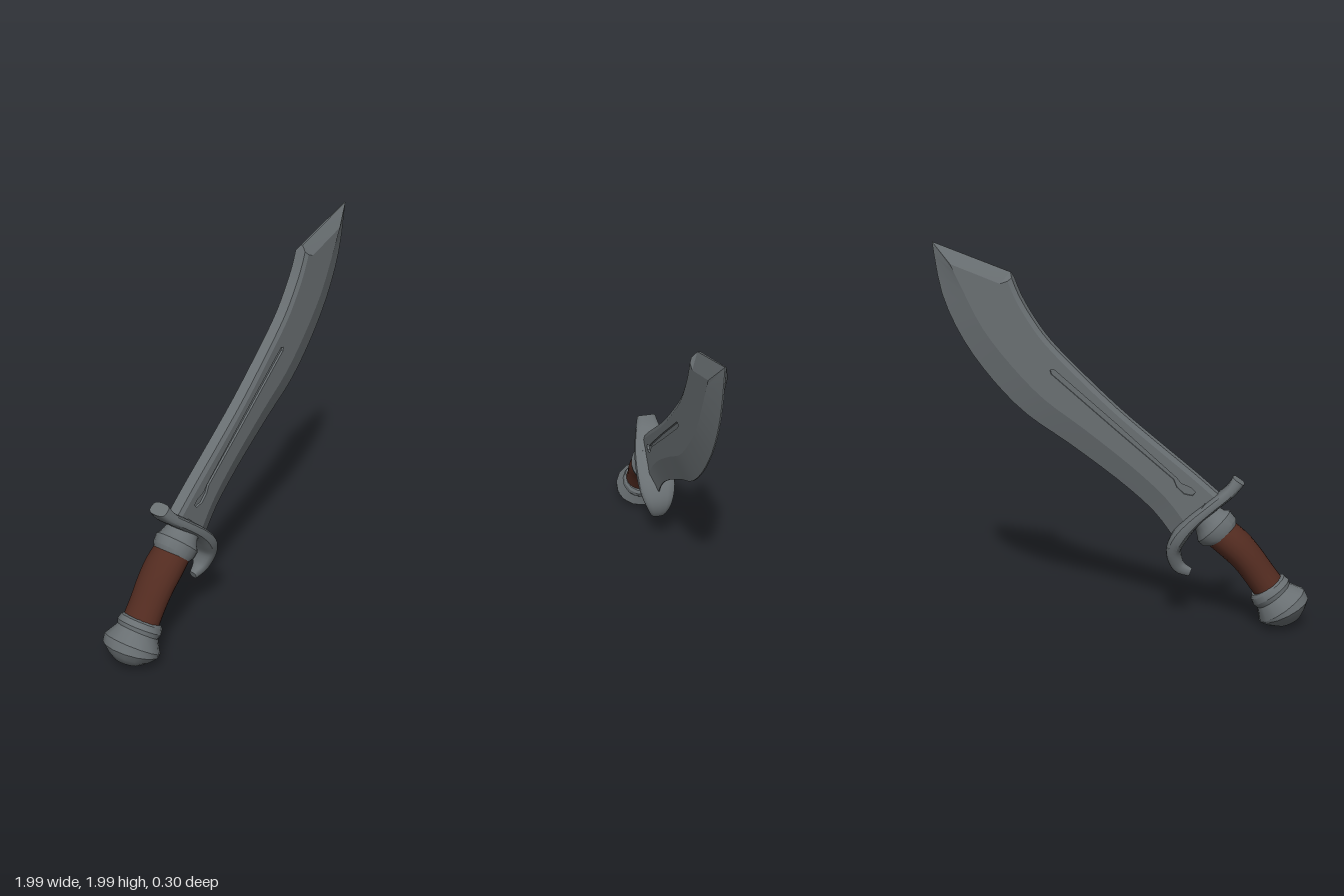
import * as THREE from 'three';
import { toCreasedNormals } from 'three/addons/utils/BufferGeometryUtils.js';

const steel = new THREE.MeshStandardMaterial({ color: 0x696f72 });
steel.name = 'steel';
const leather = new THREE.MeshStandardMaterial({ color: 0x522b20 });
leather.name = 'brown leather';

function makeMesh(name, points, material, crease) {
  const geometry = new THREE.BufferGeometry().setFromPoints(points);
  const mesh = new THREE.Mesh(toCreasedNormals(geometry, crease), material);
  mesh.name = name;
  return mesh;
}

// Sweeps rounded sections [x, y, half width in plane, half depth in z] along a path.
function sweep(name, sections, material, { sides = 16, power = 1, crease = 0.6, steps = 0 } = {}) {
  let list = sections;
  if (steps) {
    const pos = new THREE.SplineCurve(sections.map(s => new THREE.Vector2(s[0], s[1])));
    const size = new THREE.SplineCurve(sections.map(s => new THREE.Vector2(s[2], s[3])));
    list = Array.from({ length: steps + 1 }, (_, i) => {
      const p = pos.getPoint(i / steps), s = size.getPoint(i / steps);
      return [p.x, p.y, s.x, s.y];
    });
  }
  const soft = v => Math.sign(v) * Math.abs(v) ** power;
  const rings = list.map(([x, y, a, b], i) => {
    const p = list[Math.max(i - 1, 0)], q = list[Math.min(i + 1, list.length - 1)];
    const t = new THREE.Vector2(q[0] - p[0], q[1] - p[1]).normalize();
    return Array.from({ length: sides }, (_, k) => {
      const angle = (k / sides) * Math.PI * 2;
      const u = a * soft(Math.cos(angle)), w = b * soft(Math.sin(angle));
      return new THREE.Vector3(x + t.y * u, y - t.x * u, w);
    });
  });
  const out = [];
  const last = rings.length - 1;
  const centre = i => new THREE.Vector3(list[i][0], list[i][1], 0);
  for (let k = 0; k < sides; k++) {
    const n = (k + 1) % sides;
    for (let i = 0; i < last; i++) {
      const [a, b, c, d] = [rings[i][k], rings[i + 1][k], rings[i + 1][n], rings[i][n]];
      out.push(a, b, c, a, c, d);
    }
    out.push(centre(0), rings[0][k], rings[0][n]);
    out.push(centre(last), rings[last][n], rings[last][k]);
  }
  return makeMesh(name, out, material, crease);
}

function smooth(points, count) {
  return new THREE.SplineCurve(points.map(p => new THREE.Vector2(...p))).getPoints(count);
}

function makeBlade() {
  const half = 0.041, floor = 0.029;
  // Cutting edge and the bevel line inside it, from guard to tip
  const edge = smooth([[-0.29, 0.47], [-0.18, 0.61], [0.01, 0.77], [0.27, 0.955], [0.49, 1.1],
    [0.67, 1.275], [0.83, 1.49], [0.94, 1.73], [0.987, 2]], 24);
  const bevel = smooth([[-0.36, 0.55], [-0.25, 0.69], [-0.07, 0.85], [0.18, 1.04], [0.39, 1.19],
    [0.56, 1.36], [0.71, 1.55], [0.81, 1.74], [0.88, 1.885]], 24);
  // Spine, from the clipped corner back to the guard
  const spine = smooth([[0.566, 1.845], [0.52, 1.73], [0.45, 1.61], [0.36, 1.49], [0.2, 1.33],
    [0, 1.145], [-0.2, 0.98], [-0.4, 0.82], [-0.53, 0.71]], 24);
  const spineInner = spine.map((p, i) => i === 0
    ? new THREE.Vector2(0.615, 1.785) : new THREE.Vector2(p.x + 0.018, p.y - 0.017));
  const outer = [...edge, ...spine];
  const inner = [...bevel, ...spineInner];
  const outerZ = i => i < edge.length ? 0.003 : i === edge.length ? 0.006 : 0.03;
  // Narrow groove with a bulb at the guard end
  const groove = [[0.335, 1.347], [0.355, 1.342], [0.35, 1.322], [0.02, 1.045], [-0.295, 0.785],
    [-0.312, 0.745], [-0.35, 0.71], [-0.395, 0.702], [-0.41, 0.722], [-0.385, 0.745],
    [-0.335, 0.765], [-0.31, 0.795], [0, 1.065]].map(p => new THREE.Vector2(...p));

  const out = [];
  const at = (p, z) => new THREE.Vector3(p.x, p.y, z);
  // Adds a triangle on the front and its mirror on the back
  const both = (a, b, c) => {
    out.push(a, b, c);
    out.push(...[a, c, b].map(v => new THREE.Vector3(v.x, v.y, -v.z)));
  };
  const quad = (a, b, c, d) => { both(a, b, c); both(a, c, d); };

  const all = [...inner, ...groove];
  for (const f of THREE.ShapeUtils.triangulateShape(inner, [groove])) {
    both(...f.map(i => at(all[i], half)));
  }
  const bed = [...groove].reverse();
  for (const f of THREE.ShapeUtils.triangulateShape(bed, [])) {
    both(...f.map(i => at(bed[i], floor)));
  }
  groove.forEach((p, i) => {
    const q = groove[(i + 1) % groove.length];
    quad(at(p, half), at(p, floor), at(q, floor), at(q, half));
  });
  outer.forEach((p, i) => {
    const j = (i + 1) % outer.length, q = outer[j];
    const zp = outerZ(i), zq = outerZ(j);
    quad(at(inner[i], half), at(p, zp), at(q, zq), at(inner[j], half));
    quad(at(p, zp), at(p, 0), at(q, 0), at(q, zq));
  });
  return makeMesh('blade', out, steel, 0.25);
}

export function createModel() {
  const group = new THREE.Group();
  group.name = 'curvedSword';
  group.add(makeBlade());

  // Crossguard with a hooked lower end
  group.add(sweep('guard', [
    [-0.63, 0.785, 0.036, 0.052], [-0.585, 0.725, 0.032, 0.072], [-0.49, 0.645, 0.032, 0.1],
    [-0.4, 0.565, 0.036, 0.11], [-0.33, 0.48, 0.043, 0.105], [-0.295, 0.395, 0.038, 0.08],
    [-0.32, 0.31, 0.032, 0.045], [-0.385, 0.277, 0.022, 0.02],
  ], steel, { power: 0.65, steps: 28, crease: 0.7 }));

  // Collar between guard and grip
  group.add(sweep('collar', [
    [-0.55, 0.485, 0.09, 0.1], [-0.535, 0.505, 0.112, 0.112], [-0.505, 0.535, 0.117, 0.116],
    [-0.49, 0.55, 0.1, 0.102], [-0.465, 0.577, 0.085, 0.09], [-0.42, 0.61, 0.08, 0.085],
  ], steel, { sides: 20 }));

  // Slightly bent grip
  group.add(sweep('grip', [
    [-0.815, 0.195, 0.085, 0.1], [-0.745, 0.29, 0.083, 0.098], [-0.68, 0.375, 0.085, 0.103],
    [-0.61, 0.445, 0.09, 0.106], [-0.52, 0.515, 0.088, 0.098],
  ], leather, { sides: 20, steps: 14 }));

  // Ringed pommel with a domed end
  group.add(sweep('pommel', [
    [-0.783, 0.228, 0.09, 0.1], [-0.79, 0.218, 0.108, 0.112], [-0.808, 0.195, 0.115, 0.12],
    [-0.822, 0.175, 0.106, 0.112], [-0.865, 0.125, 0.145, 0.152], [-0.877, 0.102, 0.142, 0.15],
    [-0.892, 0.073, 0.112, 0.118], [-0.908, 0.043, 0.066, 0.07], [-0.915, 0.028, 0.01, 0.01],
  ], steel, { sides: 14, crease: 0.5 }));

  return group;
}
